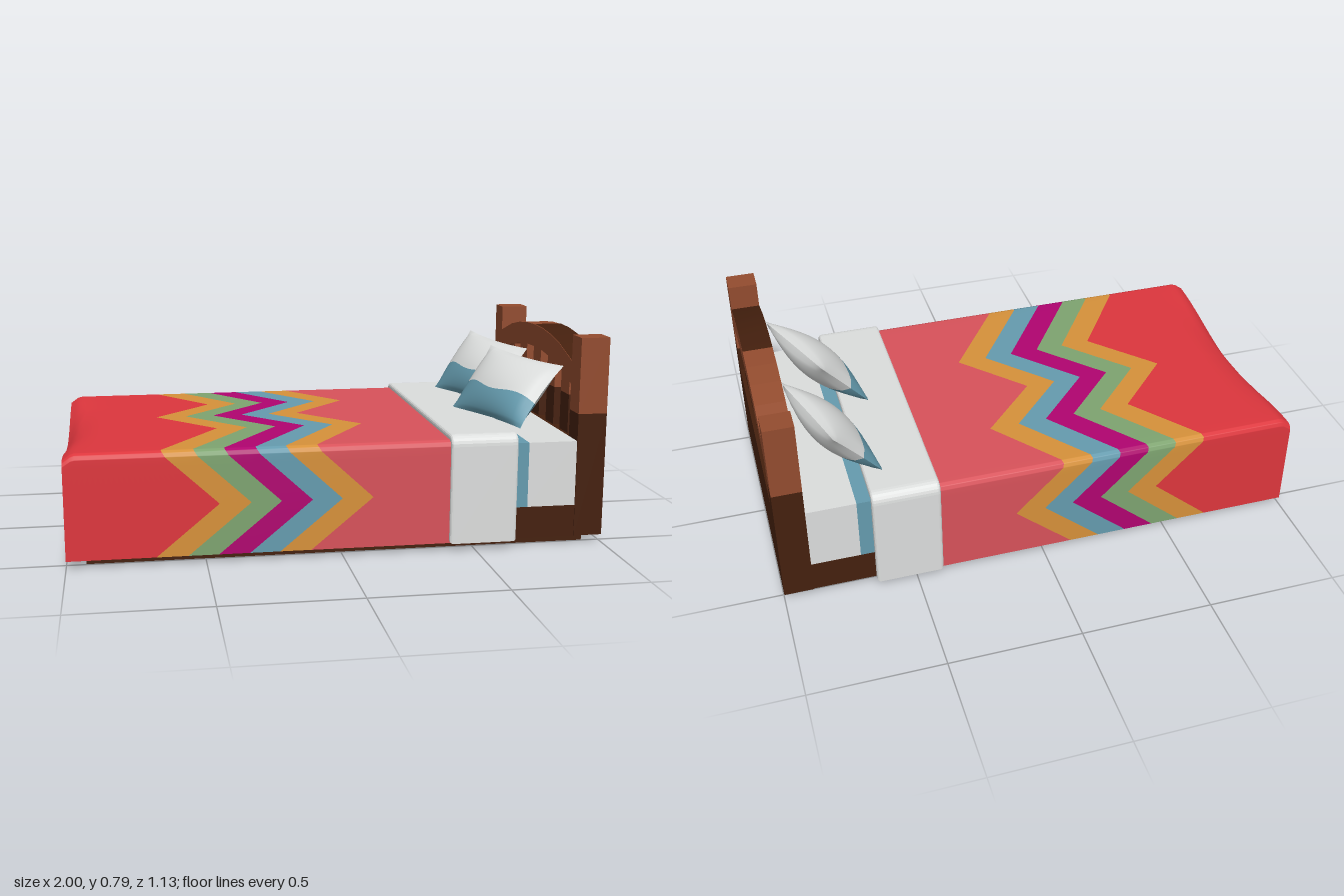
import * as THREE from 'three';

const mat = (name, color, side = THREE.FrontSide) => {
  const m = new THREE.MeshStandardMaterial({ color, side });
  m.name = name;
  return m;
};

export function createModel() {
  const D = THREE.DoubleSide;
  const red = mat('red', 0xdd363d, D), rose = mat('rose', 0xd8525a, D), gold = mat('gold', 0xd6913a, D);
  const green = mat('green', 0x7ea470, D), magenta = mat('magenta', 0xb00470, D), blue = mat('blue', 0x659bae, D);
  const white = mat('white', 0xdcdedd, D), wood = mat('wood', 0x934c2f, D), darkWood = mat('darkWood', 0x45200e);

  const bed = new THREE.Group();
  bed.name = 'bed';
  const add = (name, geo, material, parent = bed) => {
    const m = new THREE.Mesh(geo, material);
    m.name = name;
    parent.add(m);
    return m;
  };
  const group = (name) => {
    const g = new THREE.Group();
    g.name = name;
    bed.add(g);
    return g;
  };
  // Box given by its limits on each axis
  const box = (name, [x0, x1], [y0, y1], [z0, z1], material, parent) => {
    const g = new THREE.BoxGeometry(x1 - x0, y1 - y0, z1 - z0);
    g.translate((x0 + x1) / 2, (y0 + y1) / 2, (z0 + z1) / 2);
    return add(name, g, material, parent);
  };
  // Smooth surface from a function of (a, b) in 0..1
  const grid = (fn, na, nb) => {
    const pos = [], index = [];
    for (let j = 0; j <= nb; j++) for (let i = 0; i <= na; i++) pos.push(...fn(i / na, j / nb));
    for (let j = 0; j < nb; j++) for (let i = 0; i < na; i++) {
      const p = j * (na + 1) + i, q = p + na + 1;
      index.push(p, p + 1, q + 1, p, q + 1, q);
    }
    const g = new THREE.BufferGeometry();
    g.setAttribute('position', new THREE.Float32BufferAttribute(pos, 3));
    g.setIndex(index);
    g.computeVertexNormals();
    return g;
  };
  const lerp = THREE.MathUtils.lerp;

  // Base: hollow plinth ring, side rails
  const base = group('base');
  for (const s of [-1, 1]) {
    box('plinthSide', [-0.93, 0.935], [0, 0.035], s > 0 ? [0.465, 0.495] : [-0.495, -0.465], darkWood, base);
    box('plinthEnd', s > 0 ? [0.905, 0.935] : [-0.93, -0.9], [0, 0.035], [-0.465, 0.465], darkWood, base);
    box('sideRail', [0.6, 0.89], [0.03, 0.15], s > 0 ? [0.49, 0.53] : [-0.53, -0.49], darkWood, base);
  }

  // Headboard: two-tone posts, panel, slats and arched rail
  const head = group('headboard');
  const depth = [0.89, 1];
  for (const s of [-1, 1]) {
    const z = s > 0 ? [0.44, 0.533] : [-0.533, -0.44];
    box('postLower', depth, [0.03, 0.5], z, darkWood, head);
    box('postUpper', depth, [0.5, 0.785], z, wood, head);
  }
  box('panel', depth, [0.03, 0.395], [-0.44, 0.44], darkWood, head);
  for (const [c, top] of [[-0.338, 0.64], [-0.175, 0.68], [0, 0.69], [0.175, 0.68], [0.338, 0.64]]) {
    box('slatLower', [0.905, 0.985], [0.395, 0.545], [c - 0.045, c + 0.045], darkWood, head);
    box('slatUpper', [0.905, 0.985], [0.545, top], [c - 0.045, c + 0.045], wood, head);
  }
  const topEdge = [[0, 0.765], [0.1, 0.762], [0.2, 0.75], [0.3, 0.73], [0.44, 0.685]];
  const lowEdge = [[0, 0.676], [0.1, 0.673], [0.2, 0.661], [0.3, 0.641], [0.44, 0.598]];
  const mirrored = (e) => [...e.slice(1).reverse().map(([z, y]) => [-z, y]), ...e];
  const outline = [...mirrored(lowEdge), ...mirrored(topEdge).reverse()].map(([z, y]) => new THREE.Vector2(z, y));
  const arch = new THREE.ExtrudeGeometry(new THREE.Shape(outline), { depth: 0.11, bevelEnabled: false });
  arch.rotateY(Math.PI / 2);
  arch.translate(0.89, 0, 0);
  add('archedRail', arch, wood, head);
  // Dark half of the rail's upper face
  const cap = grid((a, b) => {
    const [z, y] = topEdge[Math.round(b * 4)];
    return [lerp(1, 0.89, a), y + 0.002, z];
  }, 1, 4);
  add('railTopDark', cap, mat === null ? wood : darkWood, head);

  // Mattress end with a blue edge
  box('mattressEdge', [0.6, 0.705], [0.15, 0.397], [-0.53, 0.53], blue);
  box('mattress', [0.705, 0.89], [0.15, 0.397], [-0.53, 0.53], white);

  // Blanket section: z, y and the zigzag's x
  const section = [
    [0.55, 0.03, -0.68], [0.55, 0.22, -0.45], [0.55, 0.397, -0.64], [0.543, 0.413, -0.65], [0.527, 0.42, -0.655],
    [0.2, 0.42, -0.43], [-0.04, 0.42, -0.65], [-0.27, 0.42, -0.43],
    [-0.527, 0.42, -0.63], [-0.543, 0.413, -0.635], [-0.55, 0.397, -0.63], [-0.55, 0.22, -0.45], [-0.55, 0.03, -0.67],
  ];
  const SUB = 6, ROWS = (section.length - 1) * SUB;
  const sectionAt = (b) => {
    const t = b * (section.length - 1), k = Math.min(Math.floor(t + 1e-6), section.length - 2);
    return section[k].map((v, i) => lerp(v, section[k + 1][i], t - k));
  };
  // The top sinks softly towards the foot, most in the middle
  const drape = (x, y, z) => {
    const t = THREE.MathUtils.clamp((-0.84 - x) / 0.16, 0, 1);
    const sink = 0.065 * Math.cos(z * Math.PI / 1.1) ** 2 * t * t;
    const edge = 0.025 * THREE.MathUtils.clamp((-0.965 - x) / 0.035, 0, 1);
    return y - (sink + edge) * (y - 0.03) / 0.39;
  };
  const blanket = group('blanket');
  const band = (name, from, to, cols, material) => add(name, grid((a, b) => {
    const [z, y, zig] = sectionAt(b);
    const x = lerp(from(zig), to(zig), a);
    return [x, drape(x, y, z), z];
  }, cols, ROWS), material, blanket);
  const shift = (d) => (zig) => zig + d;
  band('footField', () => -1, shift(0), 24, red);
  const stripes = [['outerStripe', gold], ['greenStripe', green], ['centreStripe', magenta], ['blueStripe', blue], ['innerStripe', gold]];
  const steps = [0, 0.115, 0.225, 0.338, 0.448, 0.562];
  stripes.forEach(([name, m], i) => band(name, shift(steps[i]), shift(steps[i + 1]), 2, m));
  band('headField', shift(steps[5]), () => 0.42, 4, rose);
  // Foot end hanging down
  add('footEnd', grid((a, b) => {
    const [z, y] = sectionAt(b);
    return [-1, lerp(0.03, drape(-1, y, z), a), z];
  }, 6, ROWS), red, blanket);

  // Folded sheet band over the mattress
  const B = 0.012, o = 0.565 - B, top = 0.44 - B, r = 0.03, inn = 0.54;
  const fold = new THREE.Shape();
  fold.moveTo(-o, 0.03 + B);
  fold.lineTo(-o, top - r);
  fold.quadraticCurveTo(-o, top, -o + r, top);
  fold.lineTo(o - r, top);
  fold.quadraticCurveTo(o, top, o, top - r);
  fold.lineTo(o, 0.03 + B);
  fold.lineTo(inn, 0.03 + B);
  fold.lineTo(inn, 0.415);
  fold.lineTo(-inn, 0.415);
  fold.lineTo(-inn, 0.03 + B);
  const foldGeo = new THREE.ExtrudeGeometry(fold, { depth: 0.255 - 2 * B, bevelSize: B, bevelThickness: B, bevelSegments: 3, curveSegments: 6 });
  foldGeo.rotateY(Math.PI / 2);
  foldGeo.translate(0.4 + B, 0, 0);
  add('foldedSheet', foldGeo, white);

  // Pillows: a leaning square of four corners, puffed out on both faces
  const pillow = (name, dx, dz) => {
    const g = group(name);
    const [A, Dn, C, Bt] = [[0.54, 0.43, 0.02], [0.7, 0.43, 0.43], [0.885 - dx, 0.655, 0.37], [0.725, 0.675, -0.06]]
      .map(([x, y, z]) => new THREE.Vector3(x + dx, y, z + dz));
    const normal = Dn.clone().sub(A).cross(Bt.clone().sub(A)).normalize();
    const split = (u) => 0.37 + 0.035 * Math.sin(u * 9);
    const point = (u, v, side) => {
      const p = 2 * u - 1, q = 2 * v - 1;
      const pu = 0.5 + p * (1 - 0.07 * (1 - q * q)) / 2, pv = 0.5 + q * (1 - 0.07 * (1 - p * p)) / 2;
      const puff = 0.07 * Math.pow(Math.max(0, (1 - p * p) * (1 - q * q)), 0.6);
      const low = A.clone().lerp(Dn, pu), high = Bt.clone().lerp(C, pu);
      return low.lerp(high, pv).addScaledVector(normal, side * puff).toArray();
    };
    for (const side of [1, -1]) {
      const face = (v0, v1) => grid((a, b) => {
        const u = side > 0 ? a : 1 - a;
        return point(u, lerp(v0(u), v1(u), b), side);
      }, 18, 12);
      add('pillowLower', face(() => 0, split), blue, g);
      add('pillowUpper', face(split, () => 1), white, g);
    }
  };
  pillow('frontPillow', 0, 0);
  pillow('backPillow', 0.037, -0.44);

  return bed;
}
